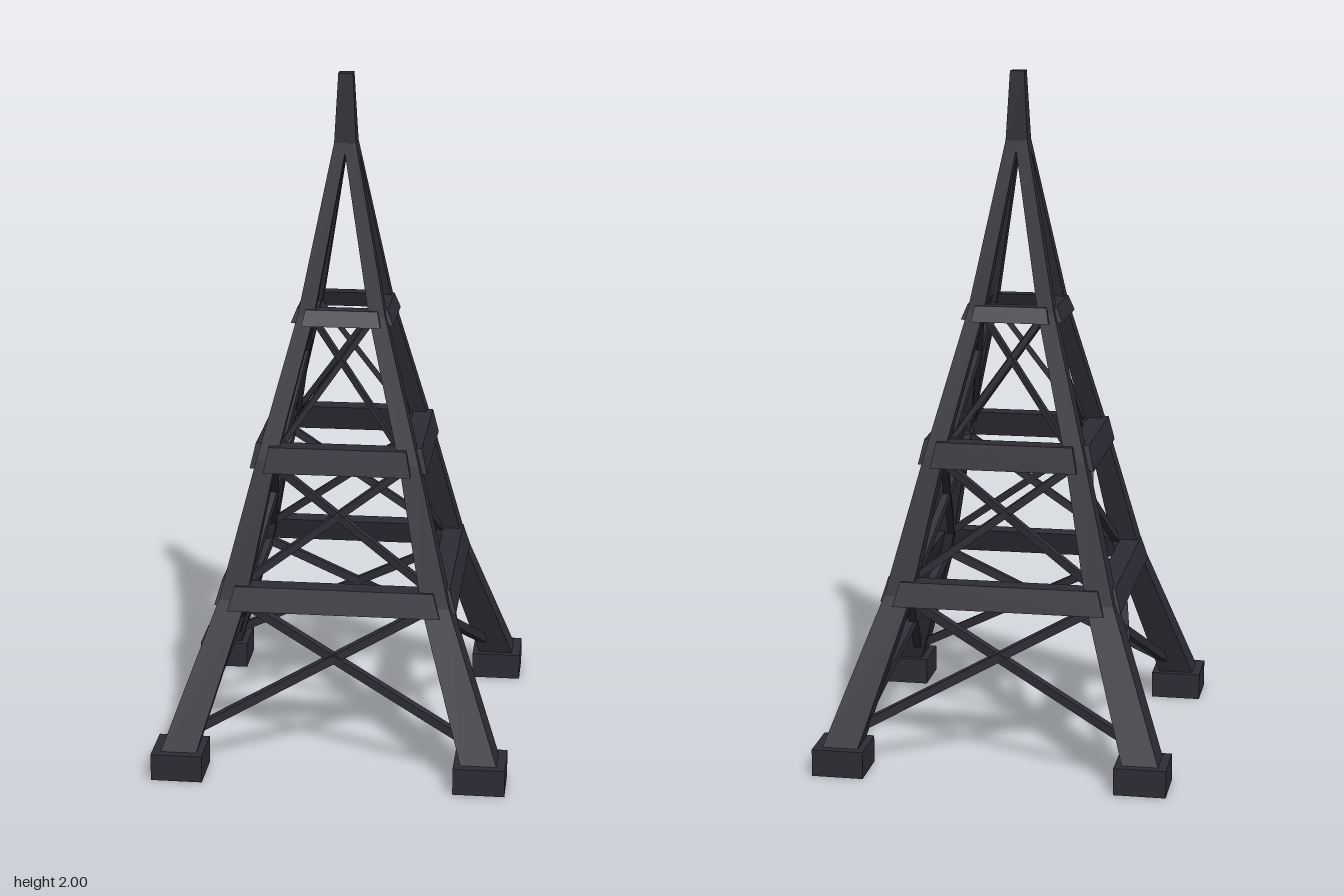
import * as THREE from 'three';

const steel = new THREE.MeshStandardMaterial({ color: 0x2d2c35 });
steel.name = 'darkSteel';

// Skin a run of four-cornered sections with flat faces and closed ends.
function loft(sections, name) {
  const pos = [];
  const quad = (a, b, c, d) => pos.push(...a, ...b, ...c, ...a, ...c, ...d);
  for (let s = 0; s < sections.length - 1; s++) {
    const a = sections[s], b = sections[s + 1];
    for (let i = 0; i < 4; i++) {
      const j = (i + 1) % 4;
      quad(a[i], a[j], b[j], b[i]);
    }
  }
  const first = sections[0], last = sections[sections.length - 1];
  quad(first[3], first[2], first[1], first[0]);
  quad(last[0], last[1], last[2], last[3]);
  const geo = new THREE.BufferGeometry();
  geo.setAttribute('position', new THREE.Float32BufferAttribute(pos, 3));
  geo.computeVertexNormals();
  const mesh = new THREE.Mesh(geo, steel);
  mesh.name = name;
  return mesh;
}

// Horizontal square section spanning lo..hi in both x and z.
const square = (y, lo, hi) => [[hi, y, hi], [hi, y, lo], [lo, y, lo], [lo, y, hi]];

// Square bar between two points.
function bar(a, b, t, name) {
  const from = new THREE.Vector3(...a), to = new THREE.Vector3(...b);
  const mesh = new THREE.Mesh(new THREE.BoxGeometry(t, t, from.distanceTo(to)), steel);
  mesh.position.copy(from).add(to).multiplyScalar(0.5);
  mesh.lookAt(to);
  mesh.name = name;
  return mesh;
}

// Leg sections: height, inner edge, outer edge.
const LEG = [
  [0.07, 0.388, 0.493], [0.5, 0.257, 0.337], [0.9, 0.18, 0.237],
  [1.31, 0.08, 0.128], [1.8, -0.005, 0.032],
];

// Ring beams: bottom, top, outer edge low/high, inner edge low/high, half length low/high.
const BEAMS = [
  { y: [0.473, 0.543], out: [0.355, 0.335], inn: [0.295, 0.275], half: [0.31, 0.29] },
  { y: [0.868, 0.942], out: [0.26, 0.243], inn: [0.202, 0.185], half: [0.215, 0.2] },
  { y: [1.283, 1.328], out: [0.15, 0.132], inn: [0.105, 0.09], half: [0.115, 0.105] },
];

// Cross braces: height, half width and depth at the low and high ends.
const BRACES = [
  { lo: [0.12, 0.395, 0.4], hi: [0.48, 0.285, 0.272], t: 0.025 },
  { lo: [0.53, 0.275, 0.262], hi: [0.885, 0.21, 0.183], t: 0.022 },
  { lo: [0.92, 0.18, 0.17], hi: [1.3, 0.09, 0.092], t: 0.016 },
];

export function createModel() {
  const tower = new THREE.Group();
  tower.name = 'latticeTower';

  for (let k = 0; k < 4; k++) {
    const side = new THREE.Group();
    side.name = 'towerSide';
    side.rotation.y = k * Math.PI / 2;

    // Corner leg and its footing
    side.add(loft(LEG.map(([y, lo, hi]) => square(y, lo, hi)), 'leg'));
    const foot = new THREE.Mesh(new THREE.BoxGeometry(0.15, 0.08, 0.15), steel);
    foot.position.set(0.44, 0.04, 0.44);
    foot.name = 'foot';
    side.add(foot);

    // Leaning ring beams
    for (const { y, out, inn, half } of BEAMS) {
      const end = s => [
        [s * half[0], y[0], out[0]], [s * half[0], y[0], inn[0]],
        [s * half[1], y[1], inn[1]], [s * half[1], y[1], out[1]],
      ];
      side.add(loft([end(-1), end(1)], 'ringBeam'));
    }

    // Crossed diagonal braces
    for (const { lo, hi, t } of BRACES) {
      for (const s of [-1, 1]) {
        side.add(bar([s * lo[1], lo[0], lo[2]], [-s * hi[1], hi[0], hi[2]], t, 'crossBrace'));
      }
    }
    tower.add(side);
  }

  // Tapered cap joining the legs
  tower.add(loft([square(1.78, -0.033, 0.033), square(2, -0.021, 0.021)], 'spire'));
  return tower;
}
